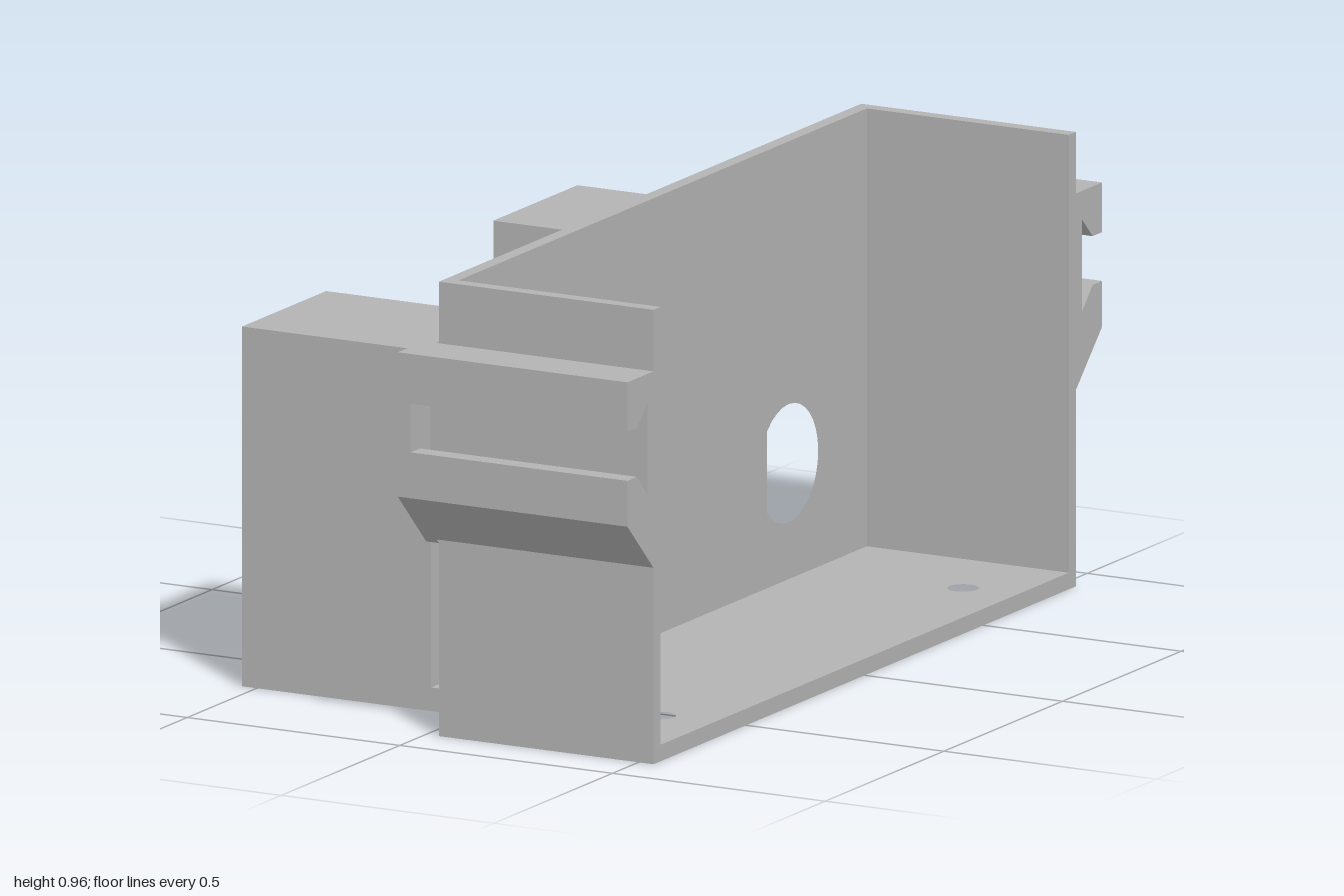
import * as THREE from 'three';
import { toCreasedNormals } from 'three/addons/utils/BufferGeometryUtils.js';

export function createModel() {
  const group = new THREE.Group();
  const grey = new THREE.MeshStandardMaterial({ color: 0xb3b3b3 });
  grey.name = 'plain grey';

  const add = (geo, name) => {
    const mesh = new THREE.Mesh(geo, grey);
    mesh.name = name;
    group.add(mesh);
  };
  const box = (name, x0, x1, y0, y1, z0, z1) => {
    const geo = new THREE.BoxGeometry(x1 - x0, y1 - y0, z1 - z0);
    geo.translate((x0 + x1) / 2, (y0 + y1) / 2, (z0 + z1) / 2);
    add(geo, name);
  };
  const rect = (a0, a1, b0, b1) => [[a0, b0], [a1, b0], [a1, b1], [a0, b1]];
  const circle = (a, b, r) => Array.from({ length: 32 }, (_, i) => {
    const t = (i / 32) * Math.PI * 2;
    return [a + r * Math.cos(t), b + r * Math.sin(t)];
  });
  const extrude = (pts, holes, depth, map) => {
    const vec = (list) => list.map((p) => new THREE.Vector2(...map(p)));
    const shape = new THREE.Shape(vec(pts));
    for (const h of holes) shape.holes.push(new THREE.Path(vec(h)));
    return new THREE.ExtrudeGeometry(shape, { depth, bevelEnabled: false });
  };
  // Outline in (z, y), extruded along x
  const alongX = (name, pts, holes, x0, x1) => {
    const geo = extrude(pts, holes, x1 - x0, ([z, y]) => [-z, y]);
    geo.rotateY(Math.PI / 2).translate(x0, 0, 0);
    add(toCreasedNormals(geo, 0.5), name);
  };
  // Outline in (x, z), extruded along y
  const alongY = (name, pts, holes, y0, y1) => {
    const geo = extrude(pts, holes, y1 - y0, ([x, z]) => [x, -z]);
    geo.rotateX(-Math.PI / 2).translate(0, y0, 0);
    add(toCreasedNormals(geo, 0.5), name);
  };

  const sides = [1, -1];
  const cz = 0.53; // centre of each motor block
  const zIn = 0.352, zOut = 0.707;

  // Open tray: back wall, floor and side walls
  alongX('backWall', rect(-0.89, 0.89, 0, 0.96), sides.map((s) => circle(s * cz, 0.28, 0.125)), 0.03, 0.06);
  alongY('trayFloor', rect(0.06, 0.535, -0.86, 0.86), sides.map((s) => circle(0.41, s * 0.638, 0.033)), 0, 0.035);
  for (const s of sides) {
    const z = [s * 0.86, s * 0.89].sort((a, b) => a - b);
    box('sideWall', 0.06, 0.535, 0, 0.96, z[0], z[1]);
  }

  // Base under the blocks, with screw holes and cable openings
  const openings = (s) => [
    circle(-0.45, s * 0.635, 0.032),
    rect(-0.28, -0.175, s * cz - 0.05, s * cz + 0.05),
  ];
  alongY('blockBase', rect(-0.535, 0.03, -zOut, zOut), sides.flatMap(openings), 0, 0.05);

  // Solid web between the blocks and its bridge to the tray
  box('centreWeb', -0.535, -0.09, 0.05, 0.365, -zIn, zIn);
  box('bridge', -0.09, 0.03, 0.05, 0.32, -0.138, 0.138);

  for (const s of sides) {
    const m = (pts) => pts.map(([z, y]) => [s * z, y]);

    // Lower layer of the block with the notch for the lower fixing slot
    alongY('blockLower', [
      [-0.535, s * zIn], [-0.535, s * (cz - 0.033)], [-0.44, s * (cz - 0.033)],
      [-0.44, s * (cz + 0.033)], [-0.535, s * (cz + 0.033)], [-0.535, s * zOut],
      [-0.09, s * zOut], [-0.09, s * zIn],
    ], openings(s), 0.05, 0.13);

    // Pocket layers: mouth with a round-topped slot, body, closed end, shaft recess
    const arch = Array.from({ length: 9 }, (_, i) => {
      const t = (i / 8) * Math.PI;
      return [cz - 0.033 * Math.cos(t), 0.69 + 0.033 * Math.sin(t)];
    });
    const frame = (top) => m([
      [zIn, 0.13], [cz - 0.14, 0.13], [cz - 0.14, 0.65], ...top,
      [cz + 0.14, 0.65], [cz + 0.14, 0.13], [zOut, 0.13], [zOut, 0.76], [zIn, 0.76],
    ]);
    alongX('pocketMouth', frame([[cz - 0.033, 0.65], ...arch, [cz + 0.033, 0.65]]), [], -0.535, -0.44);
    alongX('pocketBody', frame([]), [], -0.44, -0.17);
    const full = m(rect(zIn, zOut, 0.13, 0.76));
    alongX('pocketEnd', full, [], -0.17, -0.13);
    alongX('shaftFace', full, [circle(s * cz, 0.28, 0.07)], -0.13, -0.09);

    // Side clip: dovetail channel closed at the rear end
    const clip = [[0.88, 0.405], [1, 0.525]];
    const groove = [[1, 0.622], [0.96, 0.622], [0.915, 0.575], [0.915, 0.77], [0.96, 0.725], [1, 0.725]];
    const top = [[1, 0.83], [0.88, 0.83]];
    alongX('clipEnd', m([...clip, ...top]), [], -0.005, 0.025);
    alongX('clipRail', m([...clip, ...groove, ...top]).map(([z, y]) =>
      (Math.abs(z) < 0.885 ? [s * 0.889, y < 0.5 ? 0.414 : y] : [z, y])), [], 0.025, 0.535);
  }
  return group;
}
